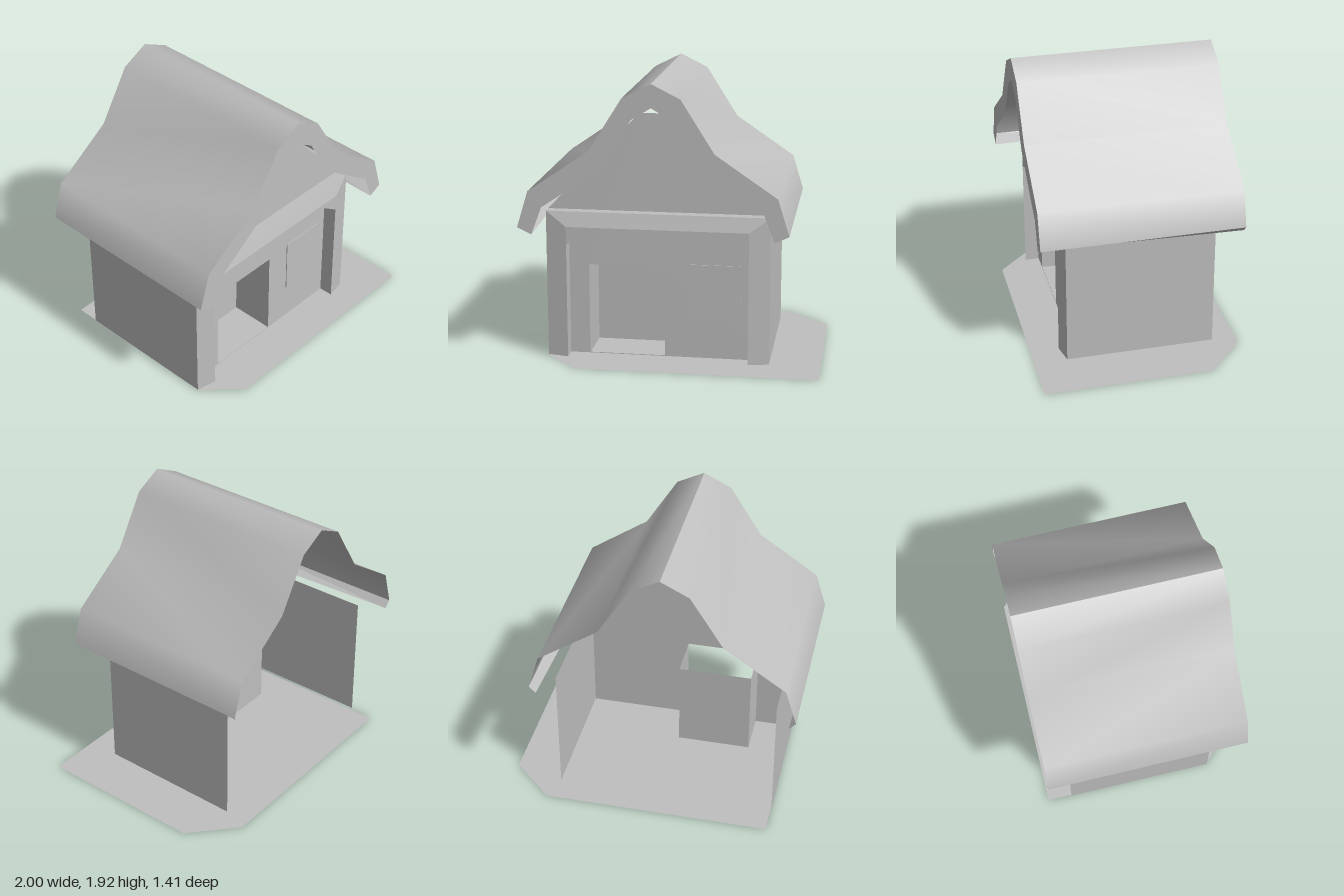
import * as THREE from 'three';

const CX = -0.1; // centre line of the house

export function createModel() {
  const model = new THREE.Group();
  const grey = new THREE.MeshStandardMaterial({ color: 0xbfbfbf, side: THREE.DoubleSide });
  grey.name = 'plain grey';

  const add = (name, geometry) => {
    const mesh = new THREE.Mesh(geometry, grey);
    mesh.name = name;
    model.add(mesh);
    return mesh;
  };
  const shapeOf = (pts) => new THREE.Shape(pts.map(([x, y]) => new THREE.Vector2(x, y)));
  // flat-shaded sheets made of convex polygons
  const sheets = (name, polygons) => {
    const pos = [];
    for (const p of polygons)
      for (let i = 1; i < p.length - 1; i++) pos.push(...p[0], ...p[i], ...p[i + 1]);
    const g = new THREE.BufferGeometry();
    g.setAttribute('position', new THREE.Float32BufferAttribute(pos, 3));
    g.computeVertexNormals();
    return add(name, g);
  };
  const mirrorX = (pts) => pts.map(([x, y]) => [2 * CX - x, y]);

  // ground slab with two cut corners
  sheets('ground', [[
    [-0.84, 0, -0.71], [-0.84, 0, 0.48], [-0.62, 0, 0.705],
    [1, 0, 0.705], [1, 0, -0.44], [0.71, 0, -0.71],
  ]]);

  // front wall and gable with a doorway
  const L = -0.85, R = 0.655, FZ = 0.41, B = 0.01;
  const wall = shapeOf([
    [L, B], [R, B], [R, 1.02], [0.625, 1.045], [0.02, 1.685],
    [-0.225, 1.685], [-0.825, 1.045], [L, 1.02],
  ]);
  const d0 = -0.575, d1 = -0.06, dTop = 0.64, dz = 0.1;
  wall.holes.push(new THREE.Path([[d0, B + 0.005], [d0, dTop], [d1, dTop], [d1, B + 0.005]]
    .map(([x, y]) => new THREE.Vector2(x, y))));
  add('frontWall', new THREE.ShapeGeometry(wall).translate(0, 0, FZ));

  // entrance alcove, open above
  const upright = (x0, z0, x1, z1, top) =>
    [[x0, B, z0], [x1, B, z1], [x1, top, z1], [x0, top, z0]];
  sheets('doorAlcove', [
    upright(d0, FZ, d0, dz, dTop),
    upright(d1, dz, d1, FZ, dTop),
    upright(d0, dz, d1, dz, dTop),
  ]);

  // window plate
  add('window', new THREE.BoxGeometry(0.335, 0.395, 0.006).translate(0.2875, 0.4675, FZ + 0.003));

  // side walls
  for (const [name, x] of [['leftWall', R], ['rightWall', L]])
    sheets(name, [upright(x, FZ, x, -0.54, 0.915)]);

  // bevelled surround of the porch front
  const iL = -0.71, iR = 0.515, iT = 0.92, T = 1.02, zi = 0.51, zo = 0.48;
  const opening = [[iL, B], [iL, 0.8], [-0.525, iT], [0.335, iT], [iR, 0.8], [iR, B]];
  const reveal = opening.slice(1).map(([x, y], i) => {
    const [px, py] = opening[i];
    return [[px, py, zi], [x, y, zi], [x, y, FZ], [px, py, FZ]];
  });
  sheets('porchFrame', [
    [[L, B, zo], [iL, B, zi], [iL, iT, zi], [L, T, zo]],
    [[iR, B, zi], [R, B, zo], [R, T, zo], [iR, iT, zi]],
    [[iL, iT, zi], [iR, iT, zi], [R, T, zo], [L, T, zo]],
    [[iL, 0.8, zi], [-0.525, iT, zi], [iL, iT, zi]],
    [[iR, 0.8, zi], [iR, iT, zi], [0.335, iT, zi]],
    upright(L, FZ, L, zo, T),
    upright(R, zo, R, FZ, T),
    [[L, T, zo], [R, T, zo], [R, T, FZ], [L, T, FZ]],
    [[L, B, FZ], [iL, B, FZ], [iL, B, zi], [L, B, zo]],
    [[iR, B, FZ], [R, B, FZ], [R, B, zo], [iR, B, zi]],
    ...reveal,
  ]);

  // roof: two smooth curved slopes meeting at a sharp ridge
  const zf = 0.67, zb = -0.705;
  const rightEdge = [[-1, 0.95], [-0.925, 1.195], [-0.515, 1.475], [-0.295, 1.825], [-0.105, 1.92]];
  const leftEdge = [[0.79, 0.95], [0.715, 1.195], [0.305, 1.475], [0.085, 1.825], [-0.105, 1.92]];
  const slope = (name, edge, flip) => {
    const pos = [], index = [];
    edge.forEach(([x, y], i) => {
      pos.push(x, y, zf, x, y, zb);
      const a = 2 * i;
      if (i < edge.length - 1)
        index.push(...(flip ? [a, a + 1, a + 2, a + 1, a + 3, a + 2]
          : [a, a + 2, a + 1, a + 1, a + 2, a + 3]));
    });
    const g = new THREE.BufferGeometry();
    g.setAttribute('position', new THREE.Float32BufferAttribute(pos, 3));
    g.setIndex(index);
    g.computeVertexNormals();
    add(name, g);
  };
  slope('leftRoofSlope', leftEdge, true);
  slope('rightRoofSlope', rightEdge, false);

  // turned-in hems under the eaves
  const hem = (xo, xf, xb) =>
    [[xo, 0.95, zf], [xf, 0.905, zf], [xb, 0.905, zb], [xo, 0.95, zb]];
  sheets('leftEaveHem', [hem(0.79, 0.695, 0.745).reverse()]);
  sheets('rightEaveHem', [hem(-1, -0.905, -0.955)]);

  // flat bargeboard across the front of the roof
  const inner = [[0.695, 0.905], [0.625, 1.09], [0.5, 1.175], [0.205, 1.385], [0.025, 1.685]];
  const innerRight = mirrorX(inner).map(([x, y]) => [x - 0.01, y]).reverse();
  add('bargeboard', new THREE.ShapeGeometry(shapeOf([
    ...rightEdge, ...leftEdge.slice(0, -1).reverse(),
    ...inner, [-0.105, 1.765], ...innerRight,
  ])).translate(0, 0, zf));

  return model;
}
